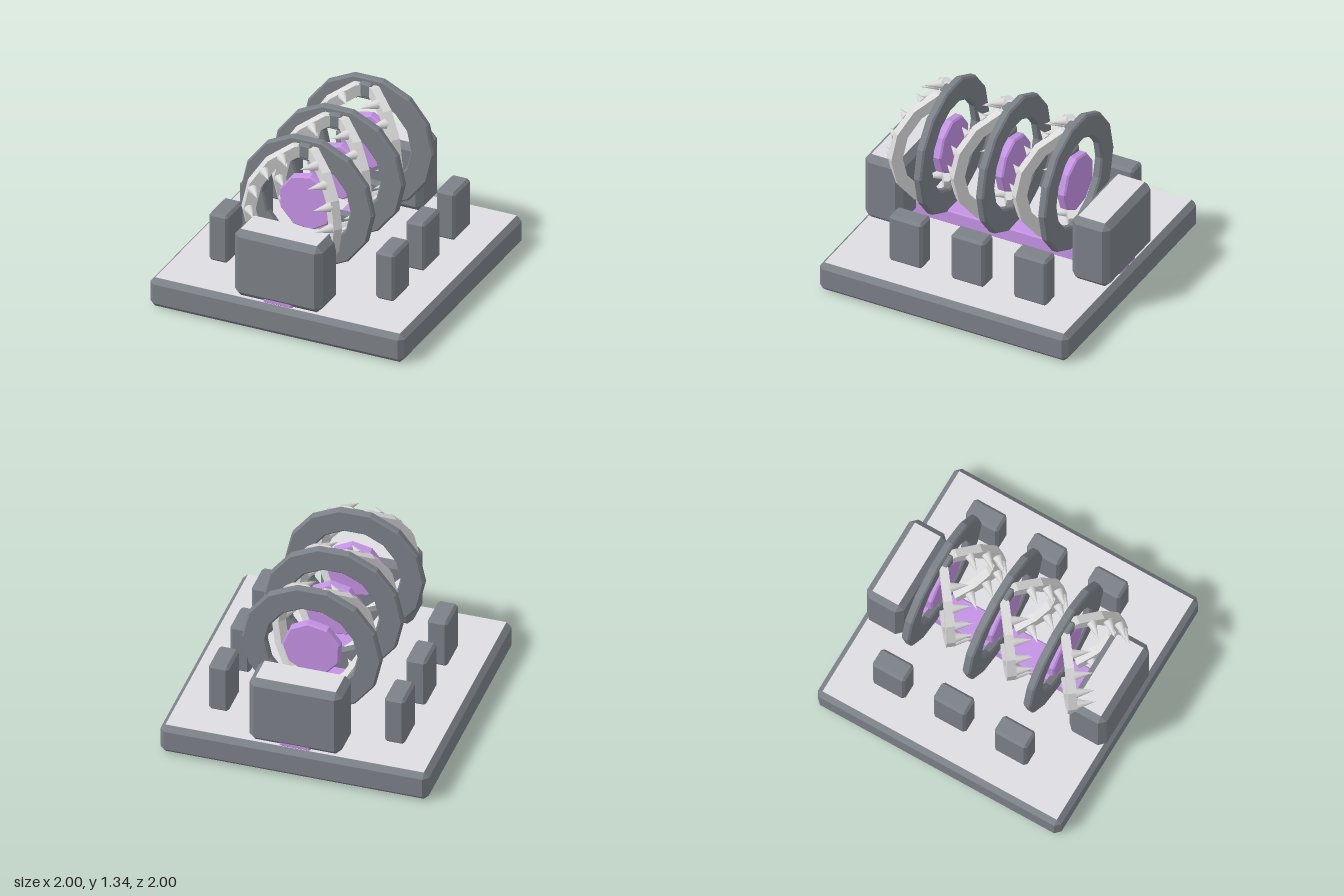
import * as THREE from 'three';
import { ConvexGeometry } from 'three/addons/geometries/ConvexGeometry.js';

const mat = (name, color) => {
  const m = new THREE.MeshStandardMaterial({ color });
  m.name = name;
  return m;
};

export function createModel() {
  const slate = mat('slate grey', 0x7c8188);
  const pale = mat('pale grey', 0xdedee2);
  const bone = mat('bone grey', 0xdadada);
  const purple = mat('purple', 0xc593e5);
  const rad = THREE.MathUtils.degToRad;
  const root = new THREE.Group();
  root.name = 'trapTunnel';

  const add = (parent, name, geo, material, x = 0, y = 0, z = 0) => {
    const m = new THREE.Mesh(geo, material);
    m.name = name;
    m.position.set(x, y, z);
    parent.add(m);
    return m;
  };

  // Box with all edges cut at 45 degrees
  const chamferBox = (w, h, d, b) => {
    const pts = [];
    for (const x of [-1, 1]) for (const y of [-1, 1]) for (const z of [-1, 1]) {
      const s = [x * w / 2, y * h / 2, z * d / 2];
      const c = [x * (w / 2 - b), y * (h / 2 - b), z * (d / 2 - b)];
      pts.push(new THREE.Vector3(s[0], c[1], c[2]), new THREE.Vector3(c[0], s[1], c[2]), new THREE.Vector3(c[0], c[1], s[2]));
    }
    return new ConvexGeometry(pts);
  };

  // Faceted turned part whose axis points along z
  const facetLathe = (profile, sides, startDeg) => {
    const geo = new THREE.LatheGeometry(profile.map(p => new THREE.Vector2(...p)), sides, rad(startDeg))
      .rotateX(Math.PI / 2).toNonIndexed();
    geo.computeVertexNormals();
    return geo;
  };

  // Base slab with a pale deck and underside
  add(root, 'base', chamferBox(2, 0.228, 2, 0.038), slate, 0, 0.116, 0);
  const deckGeo = new THREE.BoxGeometry(1.924, 0.004, 1.924);
  add(root, 'deck', deckGeo, pale, 0, 0.23, 0);
  add(root, 'underside', deckGeo, pale, 0, 0.002, 0);

  // Purple channel along the middle
  add(root, 'channel', chamferBox(0.23, 0.115, 1.93, 0.01), purple, 0, 0.285, 0);

  // End blocks with pale tops
  for (const s of [1, -1]) {
    add(root, 'endBlock', chamferBox(0.69, 0.535, 0.305, 0.046), slate, 0, 0.5025, s * 0.8325);
    add(root, 'endBlockTop', new THREE.BoxGeometry(0.598, 0.004, 0.213), pale, 0, 0.77, s * 0.8325);
  }

  // Side posts
  const postGeo = chamferBox(0.15, 0.385, 0.268, 0.02);
  for (const z of [0.44, -0.06, -0.56])
    for (const s of [1, -1]) add(root, 'post', postGeo, slate, s * 0.655, 0.4225, z);

  // Ring and disc shapes
  const R = 0.52, r = 0.34, h = 0.032, b = 0.013;
  const ringGeo = facetLathe([
    [R - b, -h], [R, -h + b], [R, h - b], [R - b, h],
    [r + b, h], [r, h - b], [r, -h + b], [r + b, -h], [R - b, -h],
  ], 14, 90);
  const discGeo = facetLathe([
    [0, -0.03], [0.208, -0.03], [0.22, -0.018], [0.22, 0.03], [0.208, 0.042], [0, 0.042],
  ], 9, 92);

  // Jaw: half of a fourteen-sided hoop, cut flat at the top
  const jawWidth = 0.065, outer = 0.477, inner = 0.387, step = 360 / 14;
  const jawGeo = side => {
    const arc = radius => {
      const pts = [new THREE.Vector2(0, radius * Math.sin(rad(3 * step)))];
      for (let i = 3; i >= -3; i--) {
        const a = rad(i * step);
        pts.push(new THREE.Vector2(side * radius * Math.cos(a), radius * Math.sin(a)));
      }
      return pts;
    };
    const shape = new THREE.Shape([...arc(outer), ...arc(inner).reverse()]);
    return new THREE.ExtrudeGeometry(shape, { depth: jawWidth, bevelEnabled: false })
      .translate(0, 0, -jawWidth / 2);
  };
  const toothGeo = new THREE.ConeGeometry(0.038, 0.14, 10).rotateX(Math.PI / 2);

  // Three gates, each a ring with a hanging disc and two toothed jaws
  for (const z of [0.455, -0.045, -0.545]) {
    const gate = new THREE.Group();
    gate.name = 'gate';
    gate.position.set(0, 0.83, z);
    root.add(gate);
    add(gate, 'ring', ringGeo, slate);
    add(gate, 'disc', discGeo, purple);
    add(gate, 'hinge', chamferBox(0.1, 0.11, 0.07, 0.012), slate, 0, 0.425, 0.038);

    for (const side of [1, -1]) {
      const jaw = new THREE.Group();
      jaw.name = side > 0 ? 'leftJaw' : 'rightJaw';
      jaw.position.z = 0.005;
      jaw.rotation.y = -side * rad(38);
      gate.add(jaw);
      add(jaw, 'jawArc', jawGeo(side), bone);
      for (let i = -3; i <= 3; i++) {
        const a = rad(i * 21);
        add(jaw, 'tooth', toothGeo, bone, side * 0.437 * Math.cos(a), 0.437 * Math.sin(a), jawWidth / 2 + 0.063);
      }
    }
  }
  return root;
}
